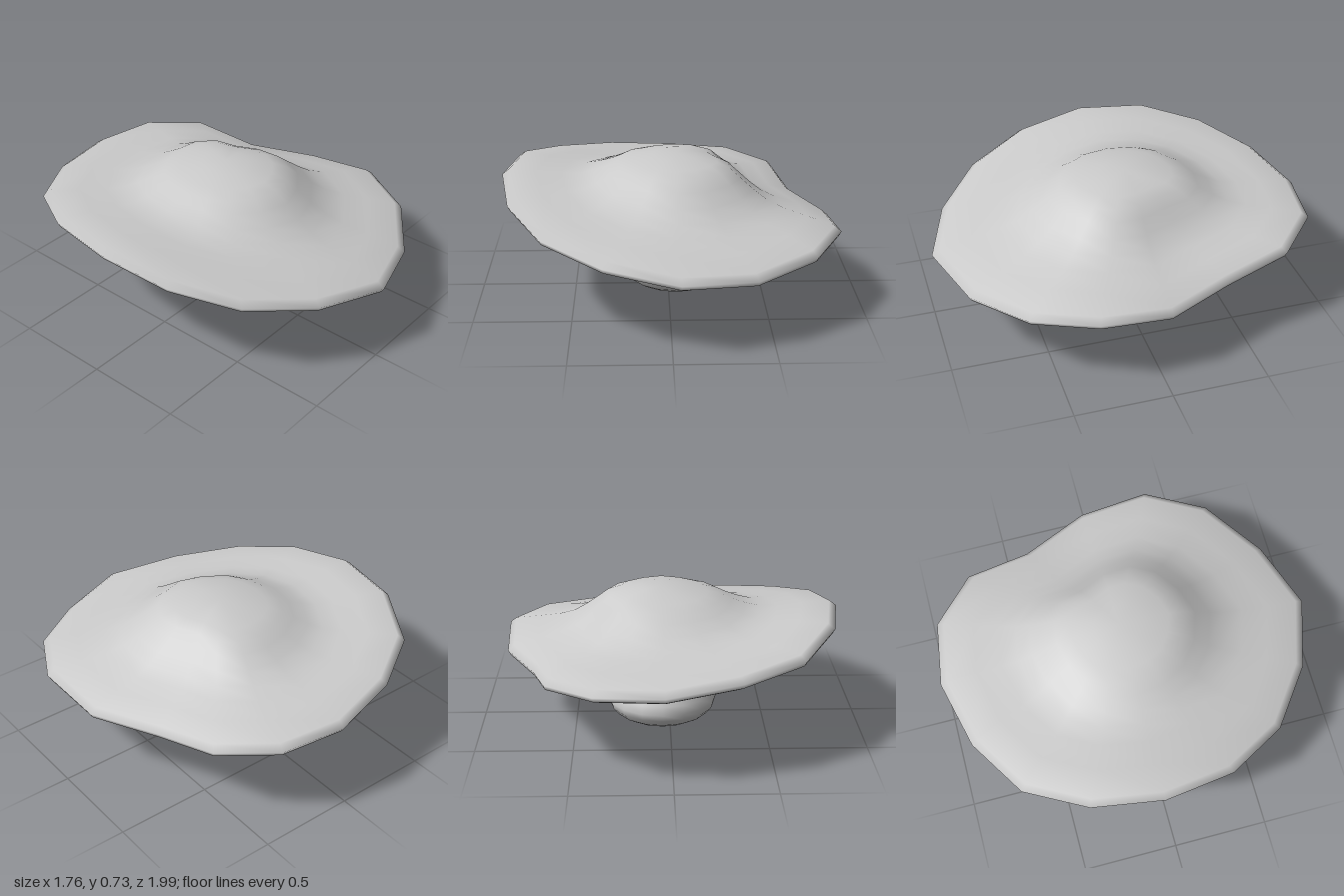
import * as THREE from 'three';
import { mergeVertices } from 'three/addons/utils/BufferGeometryUtils.js';

const CX = 0.04, CZ = -0.04, SIDES = 16;

// Wavy rim [x, y, z], from the front round through +x
const RIM = [
  [0.04, 0.39, 0.99], [0.41, 0.36, 0.87], [0.72, 0.39, 0.64], [0.88, 0.41, 0.33],
  [0.86, 0.375, -0.04], [0.70, 0.39, -0.39], [0.62, 0.45, -0.73], [0.38, 0.475, -0.95],
  [0.04, 0.485, -1.0], [-0.33, 0.52, -0.91], [-0.64, 0.555, -0.72], [-0.82, 0.61, -0.41],
  [-0.88, 0.615, -0.04], [-0.82, 0.56, 0.33], [-0.64, 0.49, 0.64], [-0.33, 0.43, 0.87],
];

// Cap section [fraction of rim radius, height, share of the rim's wave],
// from the underside by the stem, round the lip, to the crown
const CAP = [
  [0.17, 0.43, 0], [0.4, 0.425, 0.3], [0.7, 0.415, 0.68], [0.95, 0.415, 0.97],
  [0.985, 0.43, 1], [1, 0.455, 1], [0.96, 0.483, 1],
  [0.8, 0.505, 0.8], [0.66, 0.525, 0.6], [0.56, 0.55, 0.42], [0.48, 0.59, 0.27],
  [0.4, 0.638, 0.12], [0.34, 0.676, 0.04], [0.26, 0.703, 0], [0.13, 0.724, 0], [0, 0.73, 0],
];

// Stem section [radius, height], open at both ends
const STEM = [
  [0.15, 0], [0.2, 0.012], [0.25, 0.04], [0.28, 0.075], [0.29, 0.11], [0.28, 0.155],
  [0.25, 0.2], [0.22, 0.25], [0.195, 0.3], [0.178, 0.345], [0.172, 0.385], [0.185, 0.43],
];

const lathe = (section) =>
  new THREE.LatheGeometry(section.map(([r, y]) => new THREE.Vector2(r, y)), SIDES);

// Weld the seam so shading is continuous
function smooth(geometry) {
  geometry.deleteAttribute('normal');
  geometry.deleteAttribute('uv');
  const welded = mergeVertices(geometry, 1e-4);
  welded.computeVertexNormals();
  return welded;
}

export function createModel() {
  const group = new THREE.Group();
  group.name = 'mushroom';
  const material = new THREE.MeshStandardMaterial({ color: 0xcccccc, side: THREE.DoubleSide });

  // Cap: a turned section stretched out to the wavy rim
  const capGeometry = lathe(CAP);
  const pos = capGeometry.attributes.position;
  for (let k = 0; k < pos.count; k++) {
    const [x, y, z] = RIM[Math.floor(k / CAP.length) % SIDES];
    const [f, h, wave] = CAP[k % CAP.length];
    pos.setXYZ(k, CX + (x - CX) * f, h + (y - 0.455) * wave, CZ + (z - CZ) * f);
  }
  const cap = new THREE.Mesh(smooth(capGeometry), material);
  cap.name = 'cap';

  // Stem: hollow bulb narrowing to the neck
  const stem = new THREE.Mesh(smooth(lathe(STEM)), material);
  stem.name = 'stem';
  stem.position.set(CX, 0, CZ);

  group.add(cap, stem);
  return group;
}
